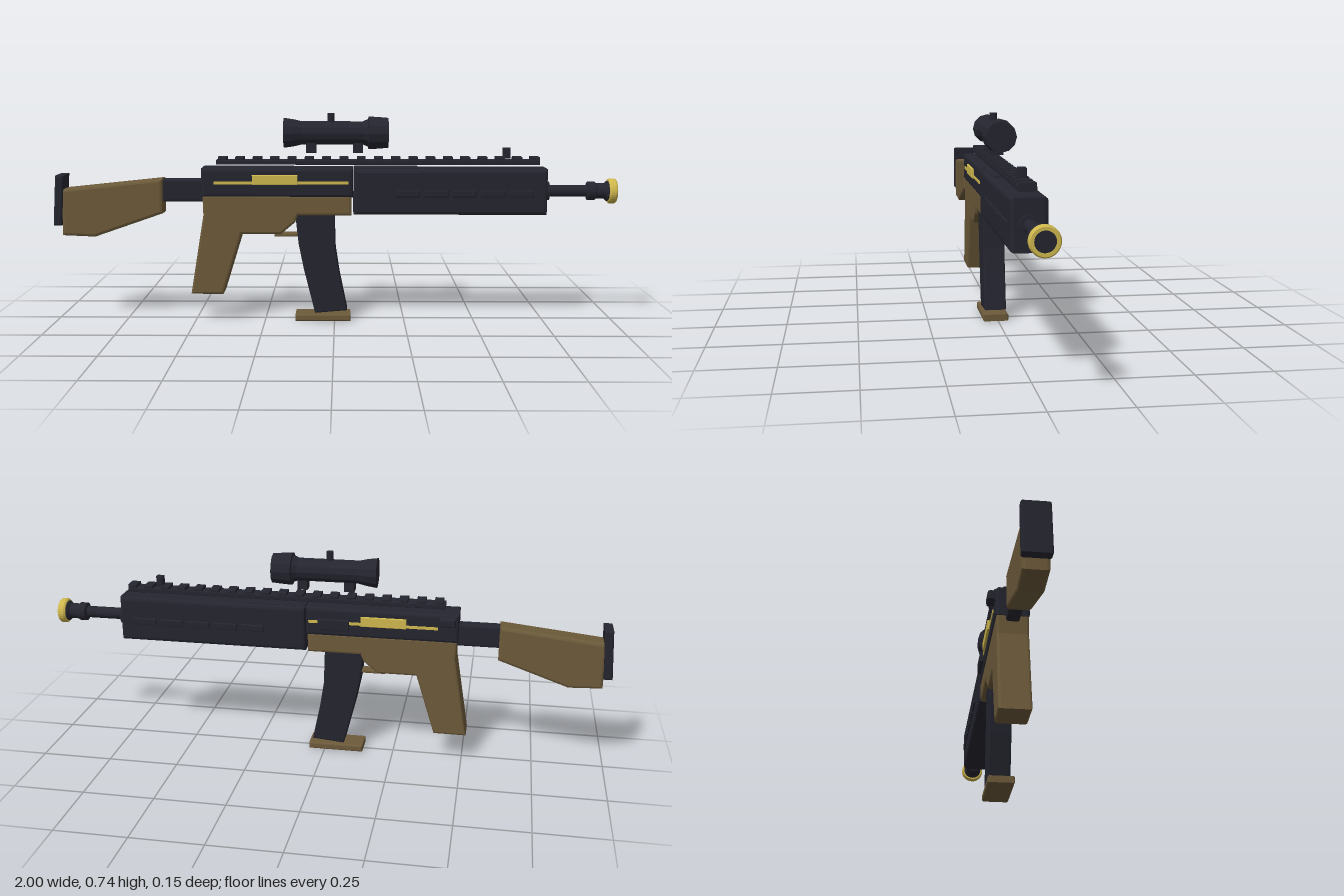
import * as THREE from 'three';

export function createModel() {
  const model = new THREE.Group();
  const body = new THREE.Group();
  body.name = 'rifle';
  body.position.z = 0.008;
  model.add(body);

  const make = (name, color) => {
    const m = new THREE.MeshStandardMaterial({ color });
    m.name = name;
    return m;
  };
  const dark = make('darkMetal', 0x252530);
  const tan = make('tanPolymer', 0x6c5a3a);
  const gold = make('goldTrim', 0xcfb84e);

  function add(name, geo, mat, x = 0, y = 0, z = 0) {
    const mesh = new THREE.Mesh(geo, mat);
    mesh.name = name;
    mesh.position.set(x, y, z);
    body.add(mesh);
    return mesh;
  }

  // side outline extruded to a full width, with chamfered rims
  function slab(name, pts, width, mat, bevel = 0.008, z = 0) {
    const shape = new THREE.Shape(pts.map(([x, y]) => new THREE.Vector2(x, y)));
    const geo = new THREE.ExtrudeGeometry(shape, {
      depth: width - 2 * bevel, bevelEnabled: bevel > 0, bevelSize: bevel,
      bevelThickness: bevel, bevelOffset: -bevel, bevelSegments: 2,
    });
    geo.translate(0, 0, -(width - 2 * bevel) / 2);
    return add(name, geo, mat, 0, 0, z);
  }

  // chamfered block given by its x and y limits
  const block = (name, x0, x1, y0, y1, width, mat, bevel = 0.004, z = 0) =>
    slab(name, [[x0, y0], [x1, y0], [x1, y1], [x0, y1]], width, mat, bevel, z);

  // turned part along x; profile is [x, radius]
  function turned(name, profile, sides, mat, y) {
    const geo = new THREE.LatheGeometry(profile.map(([x, r]) => new THREE.Vector2(r, x)), sides).toNonIndexed();
    geo.rotateZ(-Math.PI / 2);
    geo.computeVertexNormals();
    return add(name, geo, mat, 0, y, 0);
  }

  // shoulder stock
  slab('stock', [[-0.97, 0.31], [-0.855, 0.305], [-0.61, 0.39], [-0.61, 0.513], [-0.97, 0.475]], 0.08, tan, 0.01);
  slab('buttPlate', [[-1, 0.347], [-0.97, 0.347], [-0.958, 0.525], [-0.988, 0.525]], 0.09, dark, 0.006);
  block('stockTube', -0.63, -0.45, 0.43, 0.51, 0.045, dark, 0.008);

  // receiver and grip
  block('upperReceiver', -0.47, 0.065, 0.45, 0.552, 0.112, dark, 0.01);
  slab('gripFrame', [
    [-0.467, 0.458], [-0.465, 0.385], [-0.513, 0.1], [-0.398, 0.1], [-0.33, 0.318], [-0.19, 0.318],
    [-0.14, 0.36], [-0.13, 0.385], [0.06, 0.385], [0.06, 0.458],
  ], 0.106, tan, 0.008);
  block('triggerGuard', -0.215, -0.115, 0.304, 0.316, 0.04, tan, 0.003);

  // gold side trim
  block('leftStripe', -0.425, 0.05, 0.497, 0.507, 0.008, gold, 0, 0.055);
  block('rightStripe', -0.4, -0.09, 0.497, 0.507, 0.008, gold, 0, -0.055);
  block('rightStripeFront', 0.02, 0.055, 0.497, 0.507, 0.008, gold, 0, -0.055);
  for (const s of [1, -1]) block('sideBadge', -0.29, -0.13, 0.495, 0.53, 0.009, gold, 0.002, s * 0.06);

  // right side controls
  block('ejectionPort', -0.09, 0.02, 0.475, 0.515, 0.014, dark, 0.003, -0.062);
  block('boltHandle', -0.46, -0.405, 0.515, 0.545, 0.034, dark, 0.006, -0.064);

  // handguard with side strips
  block('handguard', 0.067, 0.75, 0.388, 0.55, 0.114, dark, 0.012);
  block('handguardCollar', 0.07, 0.295, 0.45, 0.555, 0.08, dark, 0.004);
  for (const s of [1, -1])
    for (let i = 0; i < 5; i++) {
      const x = 0.215 + i * 0.1;
      block('handguardStrip', x, x + 0.085, 0.452, 0.476, 0.012, dark, 0.003, s * 0.057);
    }

  // barrel and muzzle
  turned('barrel', [[0.74, 0], [0.74, 0.034], [0.762, 0.034], [0.762, 0.021], [0.9, 0.021]], 20, dark, 0.468);
  turned('muzzle', [
    [0.895, 0.02], [0.9, 0.033], [0.925, 0.033], [0.93, 0.028], [0.96, 0.028],
    [0.968, 0.036], [0.98, 0.036], [0.997, 0.031], [0.997, 0],
  ], 24, dark, 0.468);
  turned('muzzleRing', [
    [0.972, 0.03], [0.972, 0.041], [0.978, 0.045], [0.994, 0.045], [1, 0.041], [1, 0.031], [0.99, 0.03],
  ], 32, gold, 0.468);

  // top rail
  block('railBase', -0.42, 0.725, 0.563, 0.579, 0.054, dark, 0.002);
  for (let i = 0; i < 19; i++) {
    const x = -0.413 + i * 0.0615;
    block('railTooth', x, x + 0.031, 0.575, 0.59, 0.052, dark, 0.003);
  }
  block('frontSight', 0.597, 0.622, 0.585, 0.622, 0.028, dark, 0.004);

  // scope
  turned('scope', [
    [-0.18, 0], [-0.18, 0.053], [-0.145, 0.048], [-0.115, 0.041], [0.1, 0.041],
    [0.118, 0.049], [0.12, 0.058], [0.155, 0.056], [0.19, 0.053], [0.19, 0],
  ], 12, dark, 0.674);
  add('scopeKnob', new THREE.CylinderGeometry(0.013, 0.013, 0.04, 10), dark, -0.012, 0.723, 0);
  for (const x of [-0.083, 0.083]) block('scopeMount', x - 0.018, x + 0.018, 0.604, 0.645, 0.042, dark, 0.003);

  // magazine
  slab('magazine', [
    [-0.14, 0.39], [-0.128, 0.28], [-0.11, 0.19], [-0.07, 0.028], [0.045, 0.038],
    [0.018, 0.17], [0.004, 0.26], [0, 0.39],
  ], 0.078, dark, 0.005);
  block('magazineBase', -0.14, 0.057, 0, 0.024, 0.092, tan, 0.005);

  return model;
}
